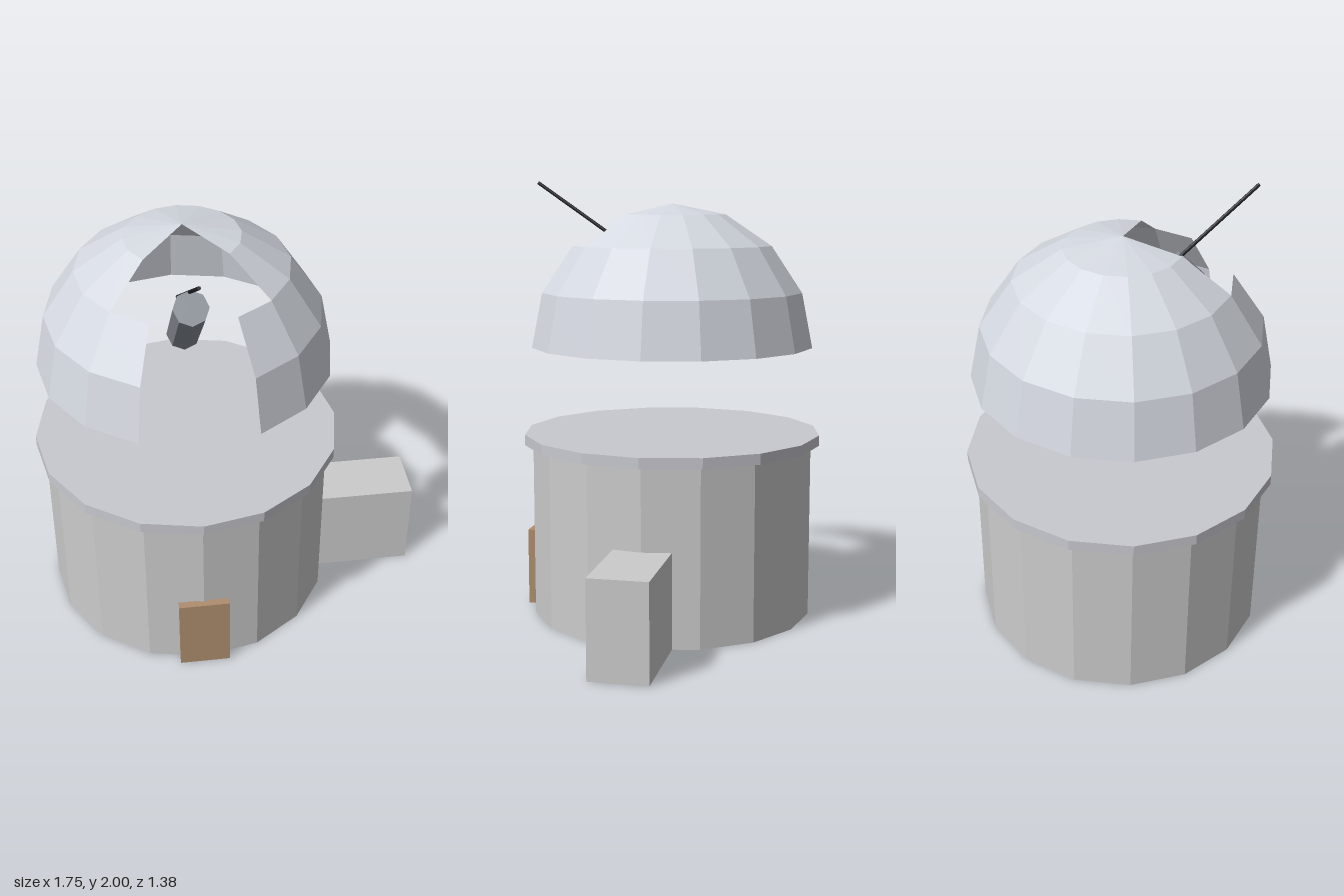
import * as THREE from 'three';

const AXIS_X = -0.19; // vertical axis of the round building
const SIDES = 16;

function material(color, side = THREE.FrontSide) {
  return new THREE.MeshStandardMaterial({ color, side, flatShading: true });
}

export function createModel() {
  const model = new THREE.Group();
  model.name = 'observatory';

  const wallGrey = material(0xcccccc);
  const rimGrey = material(0xc8c8d0);
  const domeGrey = material(0xd4d8e0, THREE.DoubleSide);
  const tubeGrey = material(0x8a9098);
  const rodBlack = material(0x222226);
  const doorBrown = material(0xb08e70);

  function add(name, geometry, mat, x, y, z, parent = model) {
    const mesh = new THREE.Mesh(geometry, mat);
    mesh.name = name;
    mesh.position.set(x, y, z);
    parent.add(mesh);
    return mesh;
  }

  // Cylinder in the plane of the slit, from a back point to a front point
  function addRod(name, radius, sides, back, front, mat) {
    const [y0, z0] = back;
    const [y1, z1] = front;
    const length = Math.hypot(y1 - y0, z1 - z0);
    const rod = add(name, new THREE.CylinderGeometry(radius, radius, length, sides), mat,
      AXIS_X, (y0 + y1) / 2, (z0 + z1) / 2);
    rod.rotation.x = Math.atan2(z1 - z0, y1 - y0);
  }

  // Round building with an overhanging roof slab
  add('wall', new THREE.CylinderGeometry(0.65, 0.65, 0.8, SIDES), wallGrey, AXIS_X, 0.4, 0);
  add('roofRim', new THREE.CylinderGeometry(0.688, 0.688, 0.048, SIDES), rimGrey, AXIS_X, 0.824, 0);

  // Side annex and front door
  add('annex', new THREE.BoxGeometry(0.515, 0.43, 0.26), wallGrey, 0.6175, 0.215, 0);
  add('door', new THREE.BoxGeometry(0.225, 0.36, 0.034), doorBrown, AXIS_X, 0.18, 0.66);

  // Raised dome: two bands, each open at the front, the upper one wider
  const dome = new THREE.Group();
  dome.name = 'dome';
  dome.position.set(AXIS_X, 1.25, 0);
  model.add(dome);
  const step = (Math.PI * 2) / SIDES;
  const bands = [
    { name: 'upperDome', gap: 2, top: 0 },
    { name: 'lowerDome', gap: 1, top: Math.PI / 4 },
  ];
  for (const { name, gap, top } of bands) {
    const panels = SIDES - 2 * gap; // gap = open panels either side of the front
    const shell = new THREE.SphereGeometry(0.65, panels, 2,
      Math.PI / 2 + gap * step, panels * step, top, Math.PI / 4);
    add(name, shell, domeGrey, 0, 0, 0, dome);
  }

  // Telescope tube and the thin rod above it, as [y, z] end points
  addRod('telescopeTube', 0.075, 8, [1.32, -0.055], [1.7, 0.325], tubeGrey);
  addRod('pointerRod', 0.008, 8, [1.345, -0.31], [1.995, 0.637], rodBlack);

  return model;
}
